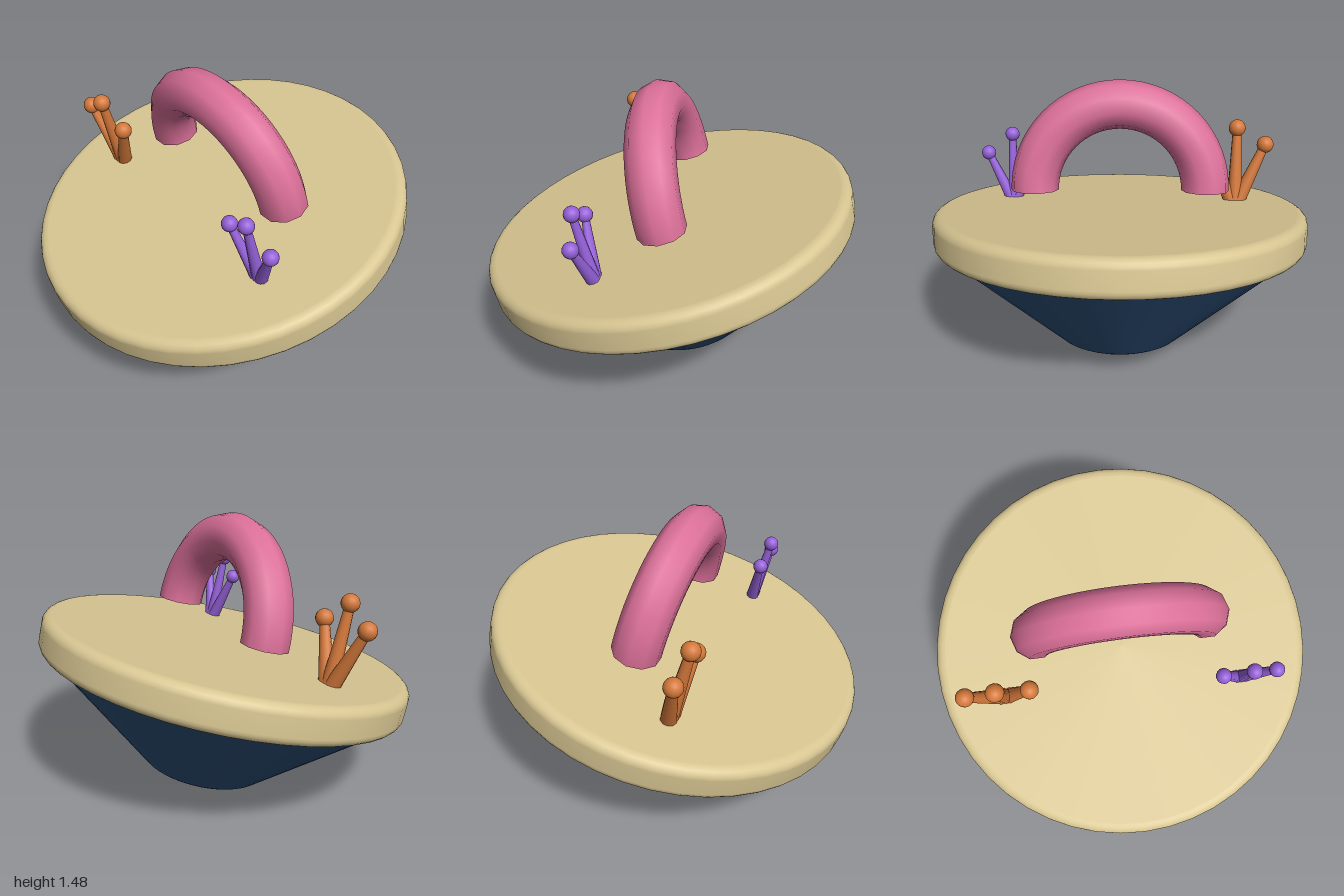
import * as THREE from 'three';

const mat = (name, color) => Object.assign(new THREE.MeshStandardMaterial({ color }), { name });

function mesh(name, geometry, material, parent) {
  const m = new THREE.Mesh(geometry, material);
  m.name = name;
  parent.add(m);
  return m;
}

const lathe = (points, segments) =>
  new THREE.LatheGeometry(points.map(([r, y]) => new THREE.Vector2(r, y)), segments);

// Three tapered stalks with round tips, fanned out from one foot
function sprig(name, material, x, z, footRadius, tipRadius, ballRadius, spread, tips) {
  const group = new THREE.Group();
  group.name = name;
  group.position.set(x, 0.775, z);
  tips.forEach(([tx, ty], i) => {
    const foot = new THREE.Vector3((i - 1) * spread, 0, 0);
    const tip = new THREE.Vector3(tx, ty, 0);
    const dir = tip.clone().sub(foot);
    const stalk = mesh('stalk', new THREE.CylinderGeometry(tipRadius, footRadius, dir.length(), 10), material, group);
    stalk.position.copy(foot).add(tip).multiplyScalar(0.5);
    stalk.quaternion.setFromUnitVectors(new THREE.Vector3(0, 1, 0), dir.normalize());
    mesh('stalkTip', new THREE.SphereGeometry(ballRadius, 16, 12), material, group).position.copy(tip);
  });
  return group;
}

export function createModel() {
  const sand = mat('sand', 0xd8c692);
  const navy = mat('navy', 0x2d5078);
  const pink = mat('pink', 0xdc7099);
  const orange = mat('orange', 0xd4783a);
  const purple = mat('purple', 0x9560d8);

  const model = new THREE.Group();
  model.name = 'tiltedIsland';

  // Everything leans forward together
  const tilt = new THREE.Group();
  tilt.name = 'tilt';
  tilt.rotation.x = Math.atan(0.25);
  model.add(tilt);

  // Round slab with rounded rims
  const slab = [[0, 0.585], [0.94, 0.585], [0.945, 0.585]];
  const rim = 0.05;
  for (let i = 1; i <= 5; i++) {
    const a = -Math.PI / 2 + (i / 5) * (Math.PI / 2);
    slab.push([0.95 + rim * Math.cos(a), 0.635 + rim * Math.sin(a)]);
  }
  for (let i = 0; i <= 5; i++) {
    const a = (i / 5) * (Math.PI / 2);
    slab.push([0.95 + rim * Math.cos(a), 0.728 + rim * Math.sin(a)]);
  }
  slab.push([0.945, 0.778], [0, 0.778]);
  mesh('slab', lathe(slab, 48), sand, tilt).position.z = -0.172;

  // Cone-shaped hull with a softened bottom edge
  const hull = [[0, 0.037], [0.285, 0.037], [0.29, 0.037], [0.315, 0.042], [0.335, 0.053],
    [0.35, 0.066], [0.925, 0.572], [0.93, 0.577], [0.93, 0.59]];
  mesh('hull', lathe(hull, 48), navy, tilt).position.z = -0.172;

  // Half-ring arch hovering above the slab, with flat ends
  const arch = new THREE.Group();
  arch.name = 'arch';
  arch.position.set(0, 0.887, -0.268);
  tilt.add(arch);
  mesh('archTube', new THREE.TorusGeometry(0.45, 0.126, 10, 32, Math.PI), pink, arch);
  for (const side of [-1, 1]) {
    const end = mesh('archEnd', new THREE.CircleGeometry(0.126, 10), pink, arch);
    end.position.x = side * 0.45;
    end.rotation.x = Math.PI / 2;
  }

  // Sprigs on either side
  tilt.add(sprig('rightSprig', orange, -0.65, 0.02, 0.042, 0.024, 0.047, 0.022,
    [[-0.16, 0.317], [0, 0.409], [0.155, 0.292]]));
  tilt.add(sprig('leftSprig', purple, 0.617, 0.072, 0.034, 0.019, 0.04, 0.018,
    [[-0.14, 0.279], [0, 0.363], [0.138, 0.255]]));

  return model;
}
